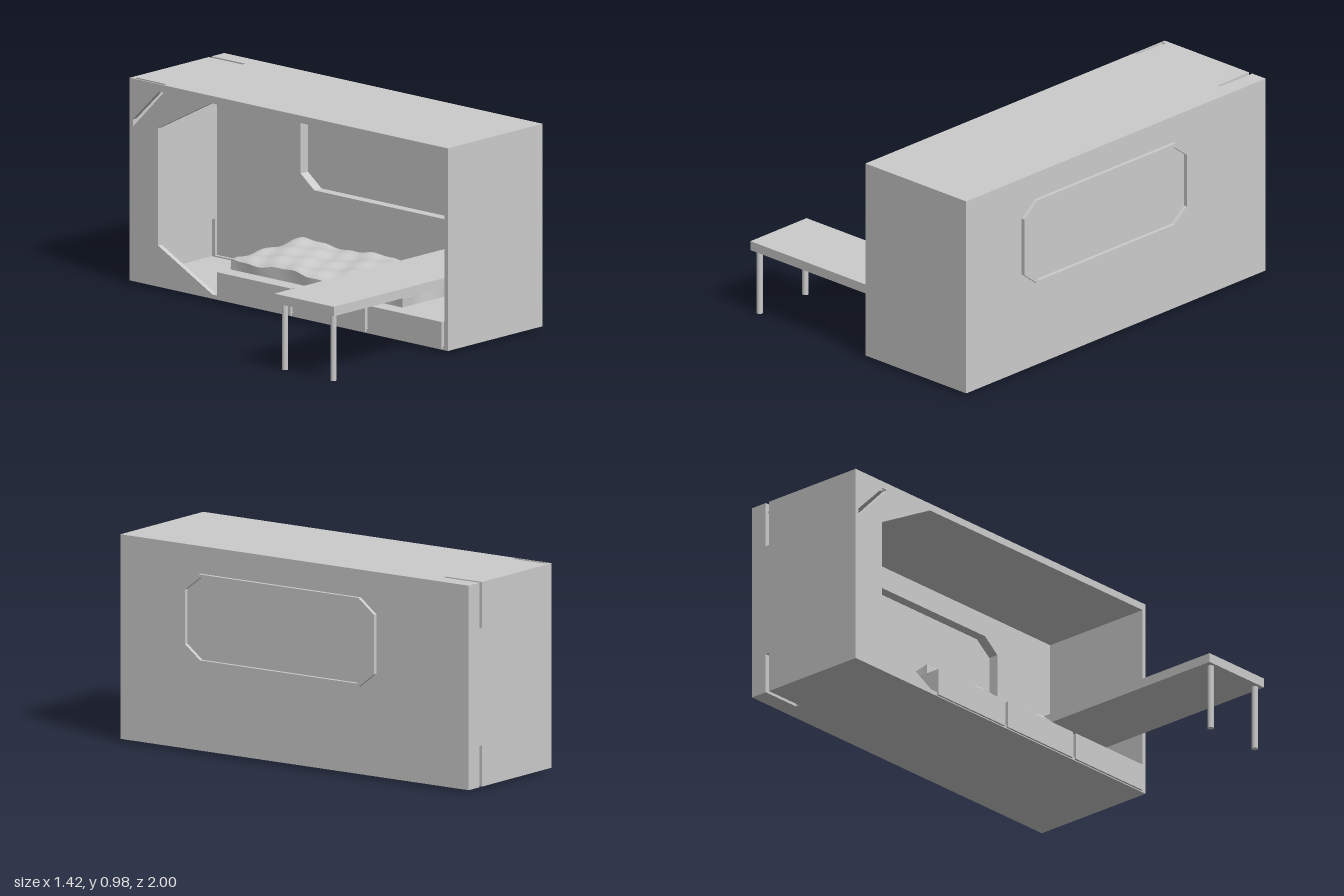
import * as THREE from 'three';

const material = new THREE.MeshStandardMaterial({ color: 0xcccccc, side: THREE.DoubleSide });

export function createModel() {
  const model = new THREE.Group();

  const add = (name, geometry) => {
    const mesh = new THREE.Mesh(geometry, material);
    mesh.name = name;
    model.add(mesh);
    return mesh;
  };
  const box = (name, x0, x1, y0, y1, z0, z1) =>
    add(name, new THREE.BoxGeometry(x1 - x0, y1 - y0, z1 - z0)
      .translate((x0 + x1) / 2, (y0 + y1) / 2, (z0 + z1) / 2));
  const outline = (points, holes = []) => {
    const toVectors = list => list.map(([a, b]) => new THREE.Vector2(a, b));
    const shape = new THREE.Shape(toVectors(points));
    shape.holes = holes.map(h => new THREE.Path(toVectors(h)));
    return shape;
  };
  const extrude = (shape, depth) =>
    new THREE.ExtrudeGeometry(shape, { depth, bevelEnabled: false });
  // Upright panel drawn in (z, y), filling x0..x1
  const sidePanel = (name, shape, x0, x1) =>
    add(name, extrude(shape, x1 - x0).rotateY(-Math.PI / 2).translate(x1, 0, 0));
  // Flat panel drawn in (x, z), filling y0..y1
  const flatPanel = (name, shape, y0, y1) =>
    add(name, extrude(shape, y1 - y0).rotateX(Math.PI / 2).translate(0, y1, 0));
  // Octagonal window outline in (z, y), inset by t
  const octagon = t => {
    const z0 = -0.47 + t, z1 = 0.63 - t, y0 = 0.43 + t, y1 = 0.85 - t;
    const cz = 0.09 - t * 0.3, cy = 0.07 - t * 0.3;
    return [[z0 + cz, y0], [z1 - cz, y0], [z1, y0 + cy], [z1, y1 - cy],
      [z1 - cz, y1], [z0 + cz, y1], [z0, y1 - cy], [z0, y0 + cy]];
  };

  const L = 0.045, R = 0.69, B = 0.015, T = 0.98;

  // Outer shell: roof, floor and slotted end, plain opposite end
  flatPanel('roof', outline([[L, -1], [0.05, -1], [0.05, -0.79], [0.07, -0.79], [0.07, -1],
    [0.585, -1], [0.585, -0.79], [0.605, -0.79], [0.605, -1], [R, -1], [R, 1], [L, 1]]), T - 0.035, T);
  flatPanel('floor', outline([[L, -1], [0.585, -1], [0.585, -0.79], [0.605, -0.79],
    [0.605, -1], [R, -1], [R, 1], [L, 1]]), B, B + 0.02);
  add('slottedEndWall', extrude(outline([[L, B], [0.585, B], [0.585, 0.21], [0.605, 0.21],
    [0.605, B], [R, B], [R, T], [0.605, T], [0.605, 0.76], [0.585, 0.76], [0.585, T], [L, T]]), 0.02)
    .translate(0, 0, -1));
  box('plainEndWall', L, R, B, T, 0.98, 1);

  // Window side: outer skin, recessed lining and raised frame
  box('windowSideSkin', 0.67, R, B, T, -1, 1);
  sidePanel('windowLining', outline([[-0.98, 0.03], [0.98, 0.03], [0.98, 0.95], [-0.98, 0.95]],
    [octagon(0.015)]), 0.62, 0.67);
  sidePanel('windowFrame', outline(octagon(0), [octagon(0.015)]), R, 0.708);

  // Entrance panel with chamfered opening and a diagonal slit
  sidePanel('entrancePanel', outline(
    [[-1, B], [-0.44, B], [-0.82, 0.21], [-0.82, 0.77], [-0.44, T - 0.01], [-1, T - 0.01]],
    [[[-0.98, 0.75], [-0.78, 0.95], [-0.80, 0.96], [-0.98, 0.785]]]), L, 0.07);

  // Bed base with three drawers
  box('bedBase', 0.05, 0.62, 0.03, 0.15, -0.44, 0.98);
  for (const [z0, z1] of [[-0.44, 0.02], [0.04, 0.49], [0.51, 0.97]])
    box('drawerFront', 0.035, 0.05, 0.02, 0.15, z0, z1);

  // Mattress with a rumpled, rounded top
  const mattress = new THREE.BoxGeometry(0.49, 0.065, 1.08, 28, 4, 60);
  const p = mattress.attributes.position;
  for (let i = 0; i < p.count; i++) {
    const x = p.getX(i), y = p.getY(i), z = p.getZ(i);
    const up = (y + 0.0325) / 0.065;
    const edge = Math.min(0.245 - Math.abs(x), 0.54 - Math.abs(z));
    const round = Math.max(0, 1 - edge / 0.03) ** 2;
    const wave = 0.006 * Math.sin(13 * z + 9 * x) + 0.004 * Math.sin(31 * x - 17 * z)
      + 0.003 * Math.sin(43 * z + 21 * x);
    p.setXYZ(i, x + 0.004 * Math.sin(19 * z) * up, y + up * (wave - 0.015 * round),
      z + 0.004 * Math.sin(23 * x) * up);
  }
  mattress.computeVertexNormals();
  add('mattress', mattress.translate(0.36, 0.183, 0.11));

  // Long table running out of the open side, on two round legs
  box('tableTop', -0.71, 0.62, 0.315, 0.36, 0.605, 0.98);
  for (const z of [0.645, 0.95])
    add('tableLeg', new THREE.CylinderGeometry(0.015, 0.015, 0.315, 20).translate(-0.68, 0.1575, z));

  return model;
}
